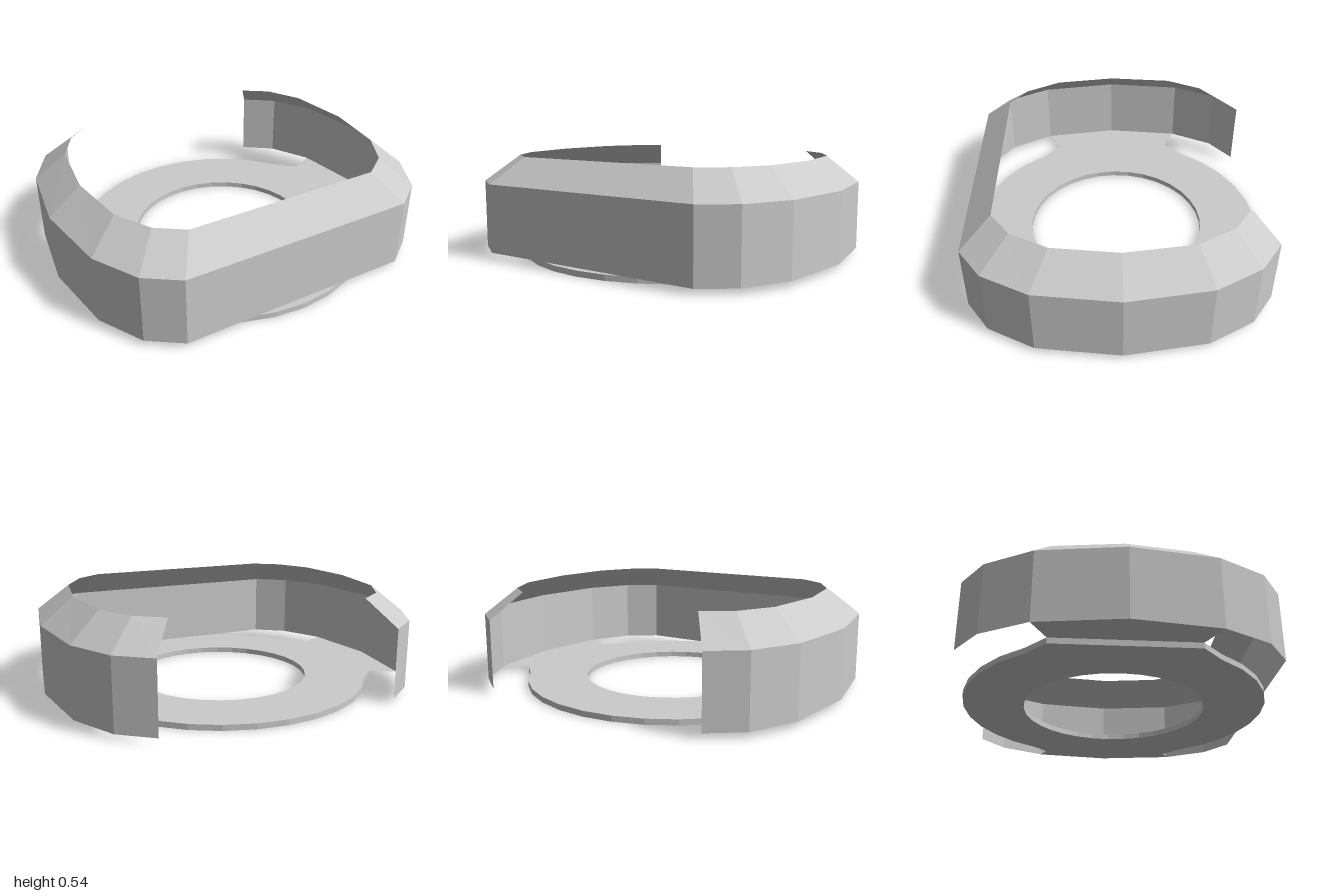
import * as THREE from 'three';

const material = new THREE.MeshStandardMaterial({
  color: 0xcccccc, flatShading: true, side: THREE.DoubleSide,
});

// Half plans [x, z] from the back opening round to the front
const wallPlan = [[0.64, -0.795], [0.81, -0.67], [0.94, -0.43], [1, 0], [0.94, 0.43], [0.81, 0.67], [0.64, 0.79]];
const rimPlan = [[0.535, -0.65], [0.675, -0.55], [0.78, -0.36], [0.825, 0], [0.78, 0.34], [0.675, 0.53], [0.535, 0.63]];

// Full open path: one half, then its mirror image back to the opening
const mirrored = (half) => [...half, ...half.slice().reverse().map(([x, z]) => [-x, z])];

// Strip of quads between two paths at two heights
function strip(name, lower, y0, upper, y1) {
  const pos = [];
  for (let i = 0; i < lower.length - 1; i++) {
    const [a, b] = [lower[i], lower[i + 1]];
    const [c, d] = [upper[i], upper[i + 1]];
    pos.push(a[0], y0, a[1], d[0], y1, d[1], b[0], y0, b[1]);
    pos.push(a[0], y0, a[1], c[0], y1, c[1], d[0], y1, d[1]);
  }
  const geo = new THREE.BufferGeometry();
  geo.setAttribute('position', new THREE.Float32BufferAttribute(pos, 3));
  geo.computeVertexNormals();
  const mesh = new THREE.Mesh(geo, material);
  mesh.name = name;
  return mesh;
}

// Flat ring with a round hole and two straight sides
function baseRing() {
  const step = Math.PI / 16, r = 0.83;
  const pts = [];
  for (const s of [1, -1]) {
    for (let i = -5; i <= 5; i++) {
      pts.push(new THREE.Vector2(s * r * Math.sin(i * step), s * r * Math.cos(i * step)));
    }
    pts.push(new THREE.Vector2(s * 0.8, s * 0.36), new THREE.Vector2(s * 0.8, -s * 0.36));
  }
  const shape = new THREE.Shape(pts);
  const hole = [];
  for (let i = 0; i < 32; i++) {
    hole.push(new THREE.Vector2(0.5 * Math.cos(i * step), -0.5 * Math.sin(i * step)));
  }
  shape.holes.push(new THREE.Path(hole));
  const geo = new THREE.ExtrudeGeometry(shape, { depth: 0.03, bevelEnabled: false });
  geo.rotateX(-Math.PI / 2);
  const mesh = new THREE.Mesh(geo, material);
  mesh.name = 'baseRing';
  return mesh;
}

export function createModel() {
  const group = new THREE.Group();
  group.name = 'openCollar';
  const wall = mirrored(wallPlan), rim = mirrored(rimPlan);

  // Upright wall and the rim sloping inwards above it
  group.add(strip('wall', wall, 0.03, wall, 0.4));
  group.add(strip('slopedRim', wall, 0.4, rim, 0.54));

  group.add(baseRing());

  // Thin tabs joining the straight sides of the ring to the wall
  for (const s of [1, -1]) {
    const outer = wallPlan.slice(2, 5).map(([x, z]) => [s * x, z]);
    const inner = [-0.36, 0, 0.36].map((z) => [s * 0.8, z]);
    const [from, to] = s > 0 ? [outer, inner] : [inner, outer];
    group.add(strip(s > 0 ? 'leftTab' : 'rightTab', from, 0.03, to, 0.03));
  }
  return group;
}
